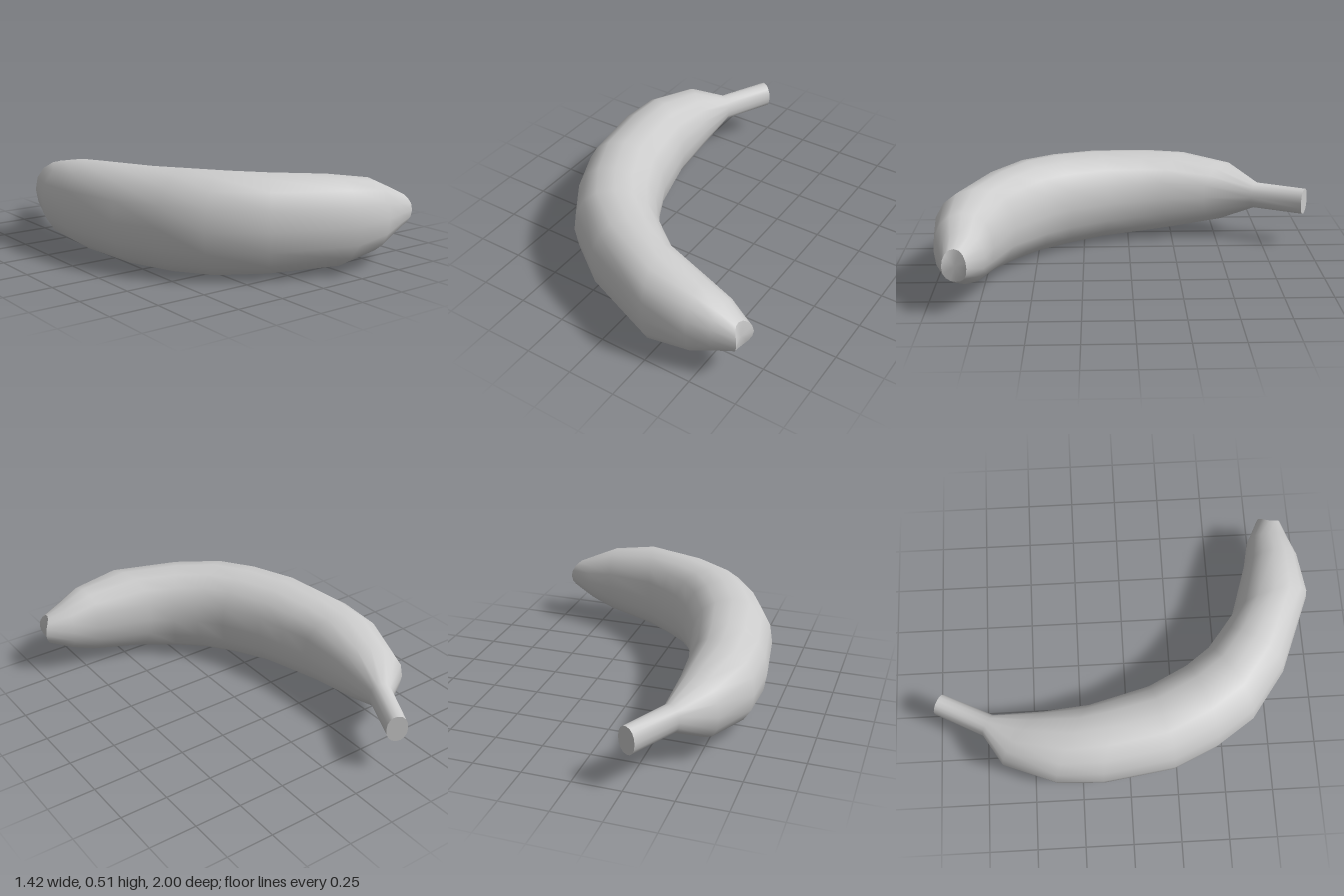
import * as THREE from 'three';

const SIDES = 16;
const MID_Y = 0.255;

// Cross-sections from stem to tip:
// outer x, outer z, inner x, inner z, half height, dip of the crown in x
const RINGS = [
  [-0.31, -1.0, -0.215, -0.95, 0.072, 0],
  [-0.44, -0.75, -0.34, -0.69, 0.072, 0],
  [-0.6, -0.65, -0.34, -0.42, 0.165, 0],
  [-0.705, -0.38, -0.32, -0.19, 0.215, 0],
  [-0.715, -0.14, -0.28, -0.04, 0.232, 0],
  [-0.66, 0.23, -0.24, 0.11, 0.245, 0],
  [-0.555, 0.46, -0.14, 0.31, 0.254, 0],
  [-0.425, 0.65, -0.05, 0.43, 0.254, 0],
  [-0.18, 0.83, 0.05, 0.51, 0.245, 0],
  [0.24, 1.0, 0.15, 0.59, 0.228, 0],
  [0.46, 0.97, 0.43, 0.68, 0.185, 0],
  [0.57, 0.935, 0.57, 0.71, 0.13, 0],
  [0.69, 0.9, 0.71, 0.78, 0.082, 0.035],
];

// Slightly squared ellipse
const soften = (v) => Math.sign(v) * Math.abs(v) ** 0.92;

function ringPoints([ox, oz, ix, iz, h, dip]) {
  const points = [];
  for (let j = 0; j < SIDES; j++) {
    const a = (j / SIDES) * Math.PI * 2;
    const c = soften(Math.cos(a)), s = soften(Math.sin(a));
    points.push(
      (ox + ix) / 2 + ((ox - ix) / 2) * c - dip * s * s,
      MID_Y + h * s,
      (oz + iz) / 2 + ((oz - iz) / 2) * c,
    );
  }
  return points;
}

function makeMesh(name, positions, index, material) {
  const geometry = new THREE.BufferGeometry();
  geometry.setAttribute('position', new THREE.Float32BufferAttribute(positions, 3));
  geometry.setIndex(index);
  geometry.computeVertexNormals();
  const mesh = new THREE.Mesh(geometry, material);
  mesh.name = name;
  return mesh;
}

// Fan closing one end ring
function makeCap(name, ring, flip, material) {
  const [ox, oz, ix, iz, , dip] = ring;
  const positions = [...ringPoints(ring), (ox + ix) / 2 - dip * 0.6, MID_Y, (oz + iz) / 2];
  const index = [];
  for (let j = 0; j < SIDES; j++) {
    const k = (j + 1) % SIDES;
    index.push(SIDES, flip ? k : j, flip ? j : k);
  }
  return makeMesh(name, positions, index, material);
}

export function createModel() {
  const group = new THREE.Group();
  group.name = 'banana';
  const material = new THREE.MeshStandardMaterial({ color: 0xcccccc });

  // Peel: one skin lofted through all the cross-sections
  const index = [];
  for (let i = 0; i < RINGS.length - 1; i++) {
    for (let j = 0; j < SIDES; j++) {
      const k = (j + 1) % SIDES;
      const a = i * SIDES + j, b = i * SIDES + k;
      index.push(a, a + SIDES, b, b, a + SIDES, b + SIDES);
    }
  }
  group.add(makeMesh('peel', RINGS.flatMap(ringPoints), index, material));

  // Cut faces at both ends
  group.add(makeCap('stemEnd', RINGS[0], false, material));
  group.add(makeCap('blossomEnd', RINGS[RINGS.length - 1], true, material));
  return group;
}
